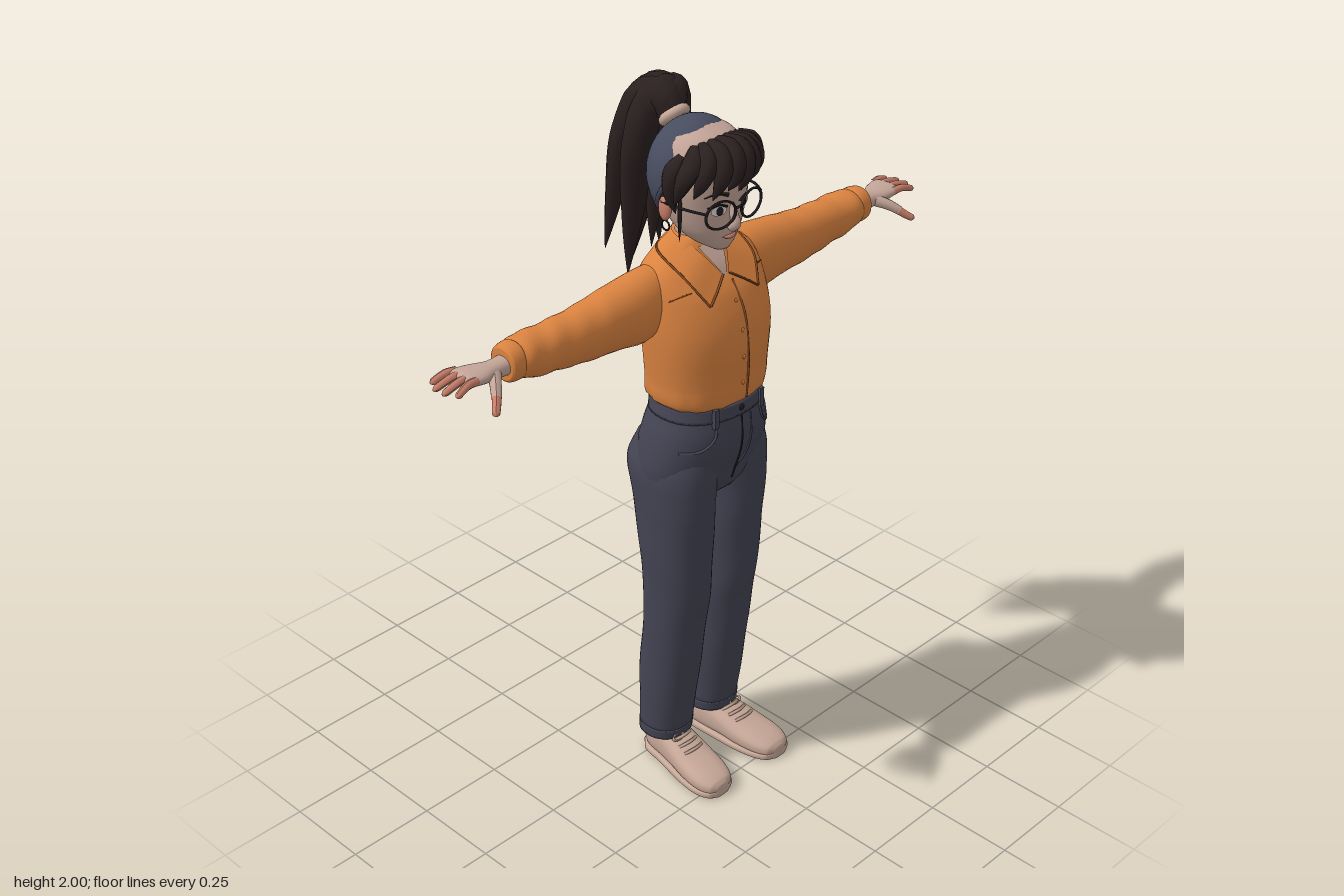
import * as THREE from 'three';

const mat = (name, color, side = THREE.FrontSide) => Object.assign(new THREE.MeshStandardMaterial({ color, side }), { name });
const V = (p) => new THREE.Vector3(...p);

// Smooth interpolation of cross-sections [t, centreU, centreV, radiusU, radiusV] at t
function sample(rings, t) {
  let i = 0;
  while (i < rings.length - 2 && t > rings[i + 1][0]) i++;
  const a = rings[i], b = rings[i + 1], h = b[0] - a[0], s = (t - a[0]) / h;
  const slope = (j, c) => {
    const p = rings[Math.max(j - 1, 0)], q = rings[Math.min(j + 1, rings.length - 1)];
    return (q[c] - p[c]) / (q[0] - p[0]);
  };
  return a.map((_, c) => (2 * s ** 3 - 3 * s * s + 1) * a[c] + (s ** 3 - 2 * s * s + s) * h * slope(i, c)
    + (3 * s * s - 2 * s ** 3) * b[c] + (s ** 3 - s * s) * h * slope(i + 1, c));
}

// Closed skin over superellipse cross-sections along an axis
function loft(rings, axis = 'y', power = 2.2, fold = null) {
  const n = 36, ts = [], pos = [], idx = [];
  const place = { x: (t, u, v) => [t, v, u], y: (t, u, v) => [u, t, v], z: (t, u, v) => [v, u, t] }[axis];
  rings.slice(0, -1).forEach((r, i) => { for (let k = 0; k < 5; k++) ts.push(r[0] + (rings[i + 1][0] - r[0]) * k / 5); });
  ts.push(rings.at(-1)[0]);
  const bend = (c) => Math.sign(c) * Math.abs(c) ** (2 / power);
  ts.forEach((t, j) => {
    const [, cu, cv, ru, rv] = sample(rings, t);
    for (let i = 0; i < n; i++) {
      const a = i / n * Math.PI * 2, f = fold ? 1 + fold(t, a) : 1;
      pos.push(...place(t, cu + ru * f * bend(Math.cos(a)), cv + rv * f * bend(Math.sin(a))));
      if (j < ts.length - 1) {
        const p = j * n + i, q = j * n + (i + 1) % n;
        idx.push(p, p + n, q, q, p + n, q + n);
      }
    }
  });
  const end = (ts.length - 1) * n, c = pos.length / 3;
  for (const r of [rings[0], rings.at(-1)]) pos.push(...place(r[0], r[1], r[2]));
  for (let i = 0; i < n; i++) {
    const k = (i + 1) % n;
    idx.push(c, i, k, c + 1, end + k, end + i);
  }
  const g = new THREE.BufferGeometry();
  g.setAttribute('position', new THREE.Float32BufferAttribute(pos, 3));
  g.setIndex(idx);
  g.computeVertexNormals();
  return g;
}

// Depth of a lofted body's surface at (x, y); side -1 gives the back
function surfaceZ(rings, x, y, side = 1, power = 2.2) {
  const [, cx, cz, rx, rz] = sample(rings, y);
  return cz + side * rz * Math.max(0, 1 - Math.abs((x - cx) / rx) ** power) ** (1 / power);
}

// Tube along points whose radius follows a rule
function strand(points, r, rule = () => 1, seg = 24, sides = 10) {
  const curve = new THREE.CatmullRomCurve3(points.map(V));
  const g = new THREE.TubeGeometry(curve, seg, r, sides), p = g.attributes.position, v = new THREE.Vector3();
  for (let i = 0; i < p.count; i++) {
    const t = Math.floor(i / (sides + 1)) / seg, c = curve.getPointAt(t);
    v.fromBufferAttribute(p, i).sub(c).multiplyScalar(rule(t)).add(c);
    p.setXYZ(i, v.x, v.y, v.z);
  }
  g.computeVertexNormals();
  return g;
}
const lockShape = (t) => Math.min(1, 0.5 + 2 * t) * (1 - t ** 2.5) + 0.01;
const fingerShape = (t) => 1 - 0.25 * t - 0.7 * Math.max(0, (t - 0.85) / 0.15) ** 2;

// Sheet between two curves
function sheet(a, b, seg = 16) {
  const ca = new THREE.CatmullRomCurve3(a.map(V)), cb = new THREE.CatmullRomCurve3(b.map(V)), pos = [], idx = [];
  for (let i = 0; i <= seg; i++) {
    pos.push(...ca.getPoint(i / seg).toArray(), ...cb.getPoint(i / seg).toArray());
    if (i < seg) idx.push(2 * i, 2 * i + 1, 2 * i + 2, 2 * i + 2, 2 * i + 1, 2 * i + 3);
  }
  const g = new THREE.BufferGeometry();
  g.setAttribute('position', new THREE.Float32BufferAttribute(pos, 3));
  g.setIndex(idx);
  g.computeVertexNormals();
  return g;
}

function mirrored(geo) {
  const g = geo.clone().applyMatrix4(new THREE.Matrix4().makeScale(-1, 1, 1)), ix = g.index.array;
  for (let i = 0; i < ix.length; i += 3) [ix[i], ix[i + 1]] = [ix[i + 1], ix[i]];
  return g;
}

export function createModel() {
  const skin = mat('skin', 0xc4a598, THREE.DoubleSide), blush = mat('blush', 0xc97f6a), hair = mat('hair', 0x2b2020);
  const scarf = mat('scarf', 0x474c5f), denim = mat('denim', 0x444454), shirt = mat('shirt', 0xdb8340, THREE.DoubleSide);
  const seam = mat('seam', 0x8f4f22), shoe = mat('shoe', 0xc6a797), white = mat('eyeWhite', 0xe4dcd6), dark = mat('dark', 0x1d1a1e);
  const model = new THREE.Group();
  model.name = 'woman';
  const add = (name, geo, m) => { const o = new THREE.Mesh(geo, m); o.name = name; model.add(o); };
  const pair = (name, geo, m) => { add(name + 'Left', geo, m); add(name + 'Right', mirrored(geo), m); };
  const ball = (x, y, z, rx, ry, rz) => new THREE.SphereGeometry(1, 24, 16).scale(rx, ry, rz).translate(x, y, z);
  const drawn = (rings, pts, r, side = 1, power = 2.2) =>
    strand(pts.map(([x, y]) => [x, y, surfaceZ(rings, x, y, side, power) + side * 0.001]), r, undefined, 20, 6);

  // Trousers
  const hips = [[0.915, 0, 0.08, 0.165, 0.09], [0.95, 0, 0.08, 0.186, 0.112], [1.0, 0, 0.08, 0.194, 0.128], [1.06, 0, 0.087, 0.188, 0.14],
    [1.12, 0, 0.096, 0.176, 0.137], [1.17, 0, 0.1, 0.16, 0.127], [1.205, 0, 0.1, 0.153, 0.124]];
  const leg = [[0.105, 0.093, 0.04, 0.073, 0.07], [0.3, 0.093, 0.055, 0.079, 0.085], [0.5, 0.092, 0.077, 0.083, 0.088],
    [0.6, 0.093, 0.085, 0.085, 0.095], [0.8, 0.097, 0.083, 0.092, 0.11], [0.92, 0.098, 0.077, 0.095, 0.125],
    [1.0, 0.094, 0.07, 0.098, 0.135], [1.07, 0.085, 0.08, 0.085, 0.12]];
  add('hips', loft(hips), denim);
  pair('leg', loft(leg, 'y', 2.2, (t, a) => 0.01 * Math.sin(t * 28 + a * 2) * (t < 0.9 ? 1 : 0)), denim);
  pair('hem', loft([[0.1, 0.093, 0.04, 0.075, 0.072], [0.13, 0.093, 0.042, 0.076, 0.074]]), denim);
  add('waistband', loft([[1.165, 0, 0.1, 0.164, 0.13], [1.205, 0, 0.1, 0.156, 0.127]]), denim);
  add('fly', drawn(hips, [[0.035, 1.16], [0.035, 1.08], [0.025, 1.03], [0, 1.0]], 0.003), denim);
  add('flySeam', drawn(hips, [[0, 1.165], [0, 1.08], [0, 0.96]], 0.0025), dark);
  pair('frontPocket', drawn(hips, [[0.08, 1.16], [0.09, 1.12], [0.125, 1.09], [0.165, 1.085]], 0.004), denim);
  pair('backYoke', drawn(hips, [[0.0, 1.1], [0.06, 1.115], [0.14, 1.13]], 0.003, -1), denim);
  for (const side of [1, -1])
    pair('beltLoop', new THREE.BoxGeometry(0.014, 0.055, 0.012).translate(0.085, 1.178, surfaceZ(hips, 0.085, 1.178, side) + side * 0.006), denim);
  add('waistButton', ball(0, 1.185, 0.228, 0.009, 0.009, 0.005), dark);

  // Shoes
  const upper = [[-0.03, 0.055, 0.085, 0.035, 0.022], [0, 0.06, 0.087, 0.055, 0.045], [0.06, 0.06, 0.092, 0.058, 0.052], [0.12, 0.053, 0.1, 0.047, 0.058],
    [0.18, 0.042, 0.108, 0.038, 0.063], [0.24, 0.034, 0.115, 0.03, 0.06], [0.28, 0.028, 0.118, 0.022, 0.044], [0.293, 0.025, 0.12, 0.012, 0.02]];
  pair('shoe', loft(upper, 'z', 2.5), shoe);
  pair('sole', loft(upper.map(([z, , x, , w]) => [z, 0.012, x, 0.012, w + 0.004]), 'z', 4), shoe);
  for (const z of [0.11, 0.135, 0.16]) {
    const [, y, x, h, w] = sample(upper, z);
    pair('lace', strand([[x - w * 0.55, y + h * 0.85, z], [x, y + h + 0.004, z + 0.012], [x + w * 0.55, y + h * 0.85, z]], 0.005), shoe);
  }
  pair('bow', new THREE.TorusGeometry(0.013, 0.003, 6, 16).scale(1.5, 0.7, 1).rotateX(-0.8).translate(0.118, 0.106, 0.115), shoe);

  // Shirt body
  const torso = [[1.195, 0, 0.1, 0.15, 0.12], [1.215, 0, 0.1, 0.169, 0.13], [1.27, 0, 0.1, 0.174, 0.132], [1.4, 0, 0.098, 0.187, 0.132],
    [1.5, 0, 0.08, 0.187, 0.115], [1.56, 0, 0.06, 0.178, 0.087], [1.6, 0, 0.05, 0.125, 0.066], [1.635, 0, 0.045, 0.06, 0.05]];
  add('shirtBody', loft(torso, 'y', 2.3, (t, a) => 0.018 * Math.sin(a * 14) * Math.max(0, 1 - Math.abs(t - 1.22) / 0.06)), shirt);
  add('placketEdge', drawn(torso, [[0.016, 1.53], [0.017, 1.45], [0.017, 1.32], [0.016, 1.21]], 0.003, 1, 2.3), seam);
  for (let y = 1.26; y < 1.53; y += 0.075) add('button', ball(0, y, surfaceZ(torso, 0, y), 0.006, 0.006, 0.003), shirt);
  pair('yokeSeam', drawn(torso, [[0.115, 1.53], [0.145, 1.525], [0.17, 1.515]], 0.002, 1, 2.3), seam);

  // Open neck and pointed collar
  add('openNeck', sheet([[0, 1.535, 0.168], [-0.02, 1.57, 0.147], [-0.042, 1.615, 0.108]], [[0, 1.535, 0.168], [0.02, 1.57, 0.147], [0.042, 1.615, 0.108]]), skin);
  const fold = [[0, 1.647, -0.012], [0.062, 1.643, 0.04], [0.045, 1.605, 0.118], [0.01, 1.548, 0.166]];
  const edge = [[0, 1.6, -0.03], [0.115, 1.612, 0.035], [0.122, 1.565, 0.142], [0.088, 1.495, 0.198]];
  pair('collar', sheet(fold, edge), shirt);
  pair('collarEdge', strand(edge, 0.003), seam);
  pair('collarFront', strand([edge[3], [0.05, 1.522, 0.185], fold[3]], 0.003), seam);

  // Sleeves and cuffs
  const sleeve = [[0.11, 0.045, 1.52, 0.055, 0.06], [0.19, 0.05, 1.487, 0.07, 0.094], [0.3, 0.05, 1.485, 0.068, 0.083], [0.4, 0.05, 1.482, 0.063, 0.072],
    [0.5, 0.05, 1.487, 0.058, 0.063], [0.57, 0.05, 1.492, 0.06, 0.057], [0.6, 0.052, 1.497, 0.056, 0.054], [0.625, 0.055, 1.5, 0.044, 0.044]];
  pair('sleeve', loft(sleeve, 'x', 2.1, (t, a) => 0.035 * Math.sin(t * 75 + a * 2) * Math.min(1, Math.max(0, (t - 0.25) * 3))), shirt);
  pair('cuff', loft([[0.612, 0.055, 1.5, 0.044, 0.046], [0.62, 0.055, 1.5, 0.048, 0.05], [0.65, 0.057, 1.5, 0.044, 0.047], [0.656, 0.057, 1.5, 0.038, 0.04]], 'x'), shirt);

  // Hands: palm, four fingers and a thumb with rosy ends
  pair('palm', loft([[0.63, 0.06, 1.5, 0.03, 0.026], [0.69, 0.06, 1.5, 0.028, 0.022], [0.73, 0.055, 1.503, 0.041, 0.02],
    [0.77, 0.05, 1.506, 0.045, 0.016], [0.785, 0.05, 1.506, 0.04, 0.01]], 'x'), skin);
  [[0.013, 0.004, 0.832], [0.037, 0.035, 0.849], [0.062, 0.068, 0.849], [0.086, 0.1, 0.833]].forEach(([z0, z1, x]) => {
    pair('finger', strand([[0.76, 1.507, z0], [0.79, 1.51, z0 * 0.6 + z1 * 0.4], [x, 1.497, z1]], 0.0115, fingerShape), blush);
  });
  pair('thumbBase', strand([[0.695, 1.498, 0.075], [0.72, 1.485, 0.108], [0.738, 1.47, 0.13]], 0.017, (t) => 1 - 0.25 * t), skin);
  pair('thumb', strand([[0.732, 1.475, 0.124], [0.75, 1.458, 0.143], [0.768, 1.445, 0.16]], 0.0125, fingerShape), blush);

  // Head and neck
  const head = [[1.618, 0, 0.145, 0.025, 0.022], [1.64, 0, 0.118, 0.058, 0.057], [1.68, 0, 0.098, 0.09, 0.083], [1.74, 0, 0.085, 0.11, 0.1],
    [1.8, 0, 0.08, 0.119, 0.11], [1.86, 0, 0.075, 0.112, 0.106], [1.91, 0, 0.07, 0.08, 0.08], [1.93, 0, 0.07, 0.03, 0.03]];
  const onFace = (x, y, up = 0) => [x, y, surfaceZ(head, x, y) + up];
  add('neck', loft([[1.54, 0, 0.055, 0.058, 0.055], [1.62, 0, 0.052, 0.047, 0.047], [1.72, 0, 0.06, 0.05, 0.05]]), skin);
  add('head', loft(head), skin);
  add('nose', strand([[0, 1.75, 0.178], [0, 1.715, 0.192], [0, 1.695, 0.197], [0, 1.684, 0.184]], 0.016, (t) => 0.45 + 0.55 * t), skin);
  add('lips', strand([onFace(-0.026, 1.658), onFace(0, 1.656, 0.003), onFace(0.026, 1.658)], 0.0055, (t) => Math.sin(Math.PI * t) + 0.05), blush);
  pair('ear', ball(0.116, 1.732, 0.066, 0.012, 0.033, 0.02), blush);
  pair('earring', new THREE.TorusGeometry(0.013, 0.0025, 6, 20).rotateY(1.57).translate(0.118, 1.688, 0.07), dark);
  const disc = (x, y, r, h, up) => new THREE.CircleGeometry(1, 24).scale(r, h, 1).rotateY(0.35).translate(...onFace(x, y, up));
  pair('eyeWhite', disc(0.046, 1.738, 0.022, 0.013, 0.005), white);
  pair('iris', disc(0.045, 1.738, 0.01, 0.012, 0.007), dark);
  pair('lashes', strand([onFace(0.022, 1.745, 0.004), onFace(0.045, 1.754, 0.004), onFace(0.073, 1.747, 0.004)], 0.003), dark);
  pair('brow', strand([onFace(0.02, 1.776), onFace(0.05, 1.785), onFace(0.08, 1.776)], 0.005, (t) => 1.1 - 0.8 * t), hair);

  // Glasses
  pair('glassesRim', new THREE.TorusGeometry(0.042, 0.0036, 8, 36).scale(1.08, 0.85, 1).rotateY(0.18).translate(0.055, 1.735, 0.198), dark);
  pair('glassesArm', strand([[0.1, 1.748, 0.19], [0.118, 1.752, 0.15], [0.123, 1.75, 0.06]], 0.0035), dark);
  add('glassesBridge', strand([[-0.013, 1.74, 0.205], [0, 1.746, 0.21], [0.013, 1.74, 0.205]], 0.0035), dark);

  // Hair under a scarf that wraps the crown and nape
  const shell = (rx, ry, rz, reach) => new THREE.SphereGeometry(1, 40, 28, 0, Math.PI * 2, 0, reach).rotateX(-0.91).scale(rx, ry, rz).translate(0, 1.8, 0.057);
  add('scalpHair', shell(0.124, 0.134, 0.109, 1.88), hair);
  add('scarf', shell(0.13, 0.141, 0.114, 1.7), scarf);
  const rim = [...Array(25)].map((_, i) => {
    const a = -2.2 + i * 4.4 / 24, s = Math.sin(1.7), c = Math.cos(1.7);
    const p = V([s * Math.sin(a), c, s * Math.cos(a)]).applyAxisAngle(V([1, 0, 0]), -0.91);
    return [p.x * 0.13, 1.8 + p.y * 0.141, 0.057 + p.z * 0.114];
  });
  add('scarfRim', strand(rim, 0.006, undefined, 48, 8), scarf);

  // Fringe
  [-0.1, -0.075, -0.045, -0.015, 0.015, 0.045, 0.075, 0.1].forEach((x, i) => {
    const side = Math.abs(x) / 0.1, out = x * 1.22 - 0.006;
    add('fringeLock', strand([[x * 0.7, 1.905 - side * 0.012, 0.145 - side * 0.02], [x * 1.02, 1.884 - side * 0.02, 0.204 - side * side * 0.055],
      [out, 1.835, 0.221 - side * side * 0.075], [out * 1.04 - 0.006, 1.782 - side * 0.02 + (i % 2) * 0.012, 0.2 - side * side * 0.08]], 0.03, lockShape), hair);
  });
  pair('templeLock', strand([[0.095, 1.875, 0.11], [0.124, 1.83, 0.1], [0.128, 1.78, 0.098], [0.118, 1.73, 0.105]], 0.028, lockShape), hair);
  pair('looseStrand', strand([[0.118, 1.78, 0.12], [0.117, 1.71, 0.118], [0.1, 1.645, 0.1]], 0.006, lockShape), hair);

  // Ponytail: locks rise from the tie and fall to the back, [middle x, z, tip x, y, z, radius]
  add('hairTie', new THREE.TorusGeometry(0.03, 0.014, 10, 24).rotateX(Math.PI / 2 - 0.75).translate(0.02, 1.91, -0.035), shoe);
  [[0.045, -0.15, 0.06, 1.42, -0.24, 0.062], [-0.005, -0.13, 0.03, 1.4, -0.22, 0.05], [0.08, -0.195, 0.1, 1.45, -0.29, 0.05],
    [0.105, -0.11, 0.215, 1.6, -0.125, 0.045], [0.1, -0.14, 0.19, 1.53, -0.16, 0.045], [0.05, -0.205, 0.1, 1.6, -0.3, 0.042],
    [0.005, -0.19, 0, 1.47, -0.275, 0.045], [0.04, -0.1, 0.05, 1.5, -0.15, 0.045], [0.085, -0.16, 0.14, 1.46, -0.21, 0.045]].forEach(([mx, mz, x, y, z, r]) => {
    add('ponytailLock', strand([[0.02, 1.89, -0.03], [0.035 + (mx - 0.05) * 0.45, 1.957, -0.095 + (mz + 0.15) * 0.4], [mx, 1.83, mz],
      [(mx + x) / 2 + 0.006, 1.83 * 0.45 + y * 0.55, (mz + z) / 2 - 0.012], [x, y, z]], r, lockShape, 36, 12), hair);
  });
  return model;
}
